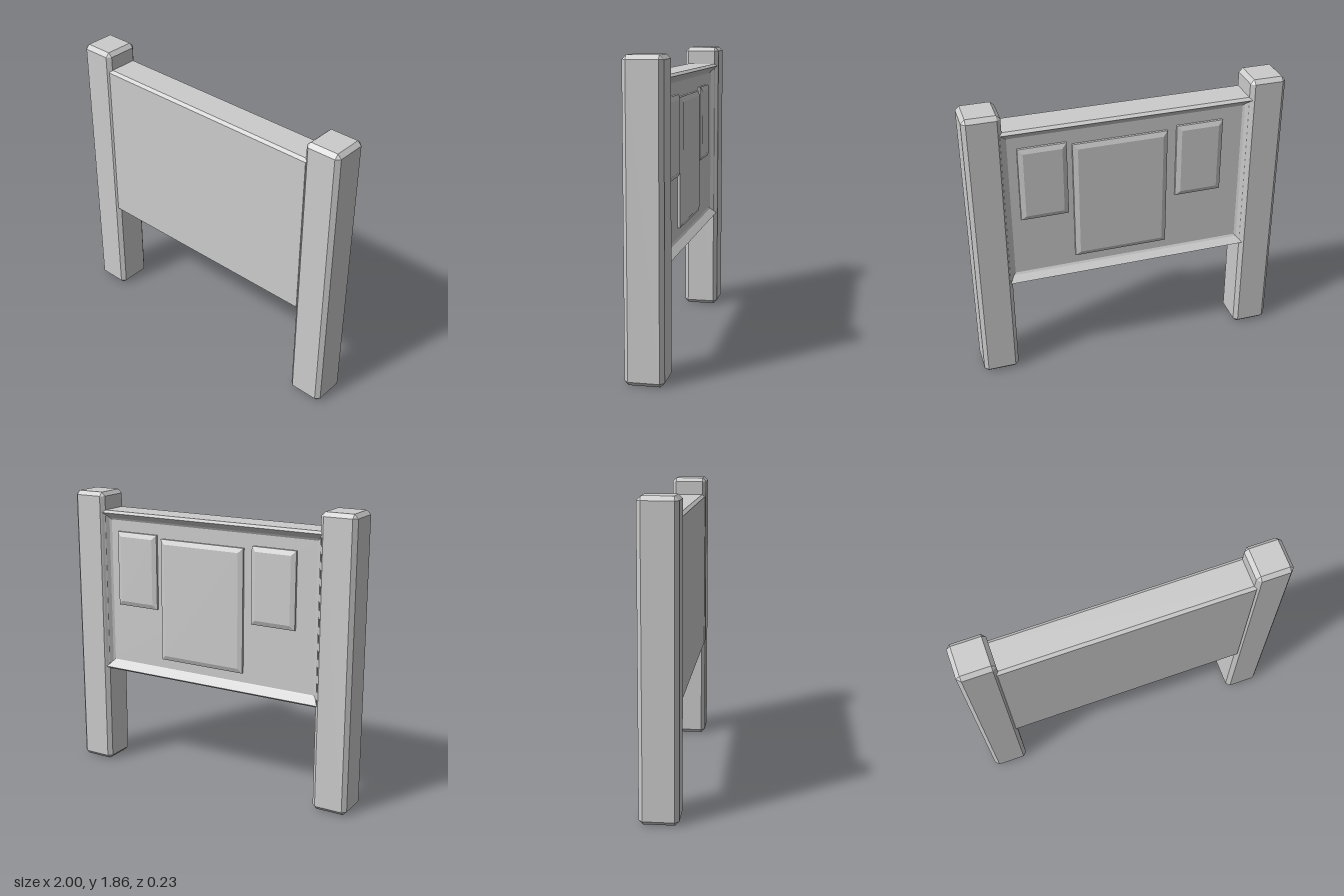
import * as THREE from 'three';
import { ConvexGeometry } from 'three/addons/geometries/ConvexGeometry.js';

const material = new THREE.MeshStandardMaterial({ color: 0xcccccc, flatShading: true });

function addMesh(parent, name, geometry) {
  const mesh = new THREE.Mesh(geometry, material);
  mesh.name = name;
  parent.add(mesh);
  return mesh;
}

// Box with flat chamfers on every edge and corner
function chamferBox(w, h, d, c) {
  const points = [];
  for (const sx of [-1, 1]) for (const sy of [-1, 1]) for (const sz of [-1, 1]) {
    for (const [a, b, e] of [[0, c, c], [c, 0, c], [c, c, 0]]) {
      points.push(new THREE.Vector3(sx * (w / 2 - a), sy * (h / 2 - b), sz * (d / 2 - e)));
    }
  }
  return new ConvexGeometry(points);
}

// Joins rectangles [halfWidth, halfHeight, z], ordered front to back, and caps both ends
function rectLoft(rings) {
  const positions = [];
  const corners = rings.map(([w, h, z]) => [[-w, -h, z], [w, -h, z], [w, h, z], [-w, h, z]]);
  const quad = (a, b, c, d) => positions.push(...a, ...b, ...c, ...a, ...c, ...d);
  const first = corners[0], last = corners[corners.length - 1];
  quad(...first);
  for (let i = 0; i < corners.length - 1; i++) {
    for (let k = 0; k < 4; k++) {
      const n = (k + 1) % 4;
      quad(corners[i][k], corners[i + 1][k], corners[i + 1][n], corners[i][n]);
    }
  }
  quad(last[3], last[2], last[1], last[0]);
  const geometry = new THREE.BufferGeometry();
  geometry.setAttribute('position', new THREE.Float32BufferAttribute(positions, 3));
  geometry.computeVertexNormals();
  return geometry;
}

export function createModel() {
  const group = new THREE.Group();
  group.name = 'noticeBoard';

  // Two chamfered posts
  for (const [side, name] of [[1, 'leftPost'], [-1, 'rightPost']]) {
    addMesh(group, name, chamferBox(0.23, 1.86, 0.234, 0.025)).position.set(side * 0.885, 0.93, 0);
  }

  // Board: bevelled flat front, sloping lip and shallow recess at the back
  addMesh(group, 'board', rectLoft([
    [0.78, 0.525, 0.11],
    [0.79, 0.54, 0.09],
    [0.79, 0.54, -0.09],
    [0.785, 0.525, -0.11],
    [0.755, 0.49, -0.07],
    [0.742, 0.477, -0.062],
  ])).position.y = 1.205;

  // Bevelled notices on the back: name, x range, y range
  const notices = [
    ['leftNotice', 0.385, 0.685, 1.12, 1.61],
    ['middleNotice', -0.25, 0.35, 0.79, 1.59],
    ['rightNotice', -0.61, -0.31, 1.12, 1.61],
  ];
  for (const [name, x0, x1, y0, y1] of notices) {
    const w = (x1 - x0) / 2, h = (y1 - y0) / 2;
    addMesh(group, name, rectLoft([
      [w, h, -0.05],
      [w, h, -0.077],
      [w - 0.03, h - 0.03, -0.09],
    ])).position.set((x0 + x1) / 2, (y0 + y1) / 2, 0);
  }
  return group;
}
